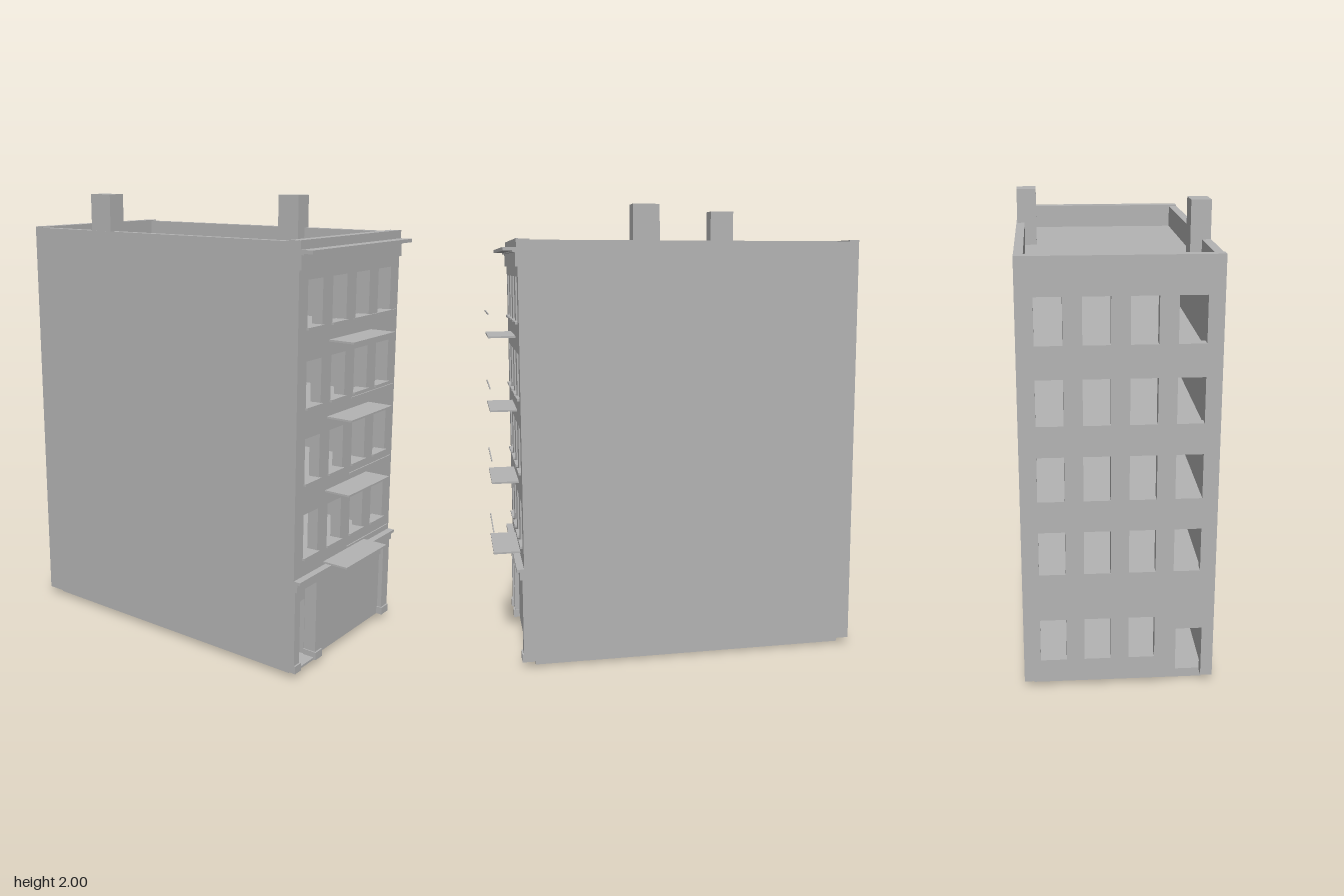
import * as THREE from 'three';

const stone = new THREE.MeshStandardMaterial({ color: 0xb4b4b4 });
stone.name = 'grey stone';

export function createModel() {
  const building = new THREE.Group();
  building.name = 'townhouse';

  const add = (name, geometry) => {
    const mesh = new THREE.Mesh(geometry, stone);
    mesh.name = name;
    building.add(mesh);
    return mesh;
  };

  // Box given by its limits on each axis
  const block = (name, x0, x1, y0, y1, z0, z1) => {
    const mesh = add(name, new THREE.BoxGeometry(x1 - x0, y1 - y0, z1 - z0));
    mesh.position.set((x0 + x1) / 2, (y0 + y1) / 2, (z0 + z1) / 2);
    return mesh;
  };

  // Wall with an optional door notch in its lower edge and window holes
  const wall = (name, x0, x1, y0, y1, z0, z1, door, windows = []) => {
    const shape = new THREE.Shape();
    shape.moveTo(x0, y0);
    if (door) {
      shape.lineTo(door[0], y0);
      shape.lineTo(door[0], door[2]);
      shape.lineTo(door[1], door[2]);
      shape.lineTo(door[1], y0);
    }
    shape.lineTo(x1, y0);
    shape.lineTo(x1, y1);
    shape.lineTo(x0, y1);
    shape.closePath();
    for (const [x, y] of windows) {
      const hole = new THREE.Path();
      hole.moveTo(x - 0.055, y);
      hole.lineTo(x - 0.055, y + 0.19);
      hole.lineTo(x + 0.055, y + 0.19);
      hole.lineTo(x + 0.055, y);
      hole.closePath();
      shape.holes.push(hole);
    }
    const geometry = new THREE.ExtrudeGeometry(shape, { depth: z1 - z0, bevelEnabled: false });
    geometry.translate(0, 0, z0);
    return add(name, geometry);
  };

  const columns = [-0.28, -0.095, 0.09, 0.275];
  const rows = [0.53, 0.855, 1.175, 1.5];
  const floors = [0.46, 0.782, 1.104, 1.428];
  const upperWindows = rows.flatMap((y) => columns.map((x) => [x, y]));
  const lowerWindows = columns.slice(1).map((x) => [x, 0.13]);

  // Shell
  block('rightWall', -0.4, -0.363, 0.03, 1.84, -0.757, 0.635);
  block('leftWall', 0.363, 0.4, 0.03, 1.84, -0.757, 0.635);
  wall('backWall', -0.4, 0.4, 0.03, 1.845, -0.8, -0.757, [-0.35, -0.24, 0.26],
    [...upperWindows, ...lowerWindows]);
  wall('frontWall', -0.4, 0.4, 0.4, 1.845, 0.635, 0.685, null, upperWindows);

  // Base, floors and roof deck
  block('base', -0.36, 0.36, 0, 0.04, -0.76, 0.64);
  floors.forEach((y) => block('floor', -0.363, 0.363, y - 0.012, y, -0.757, 0.635));
  block('roofDeck', -0.363, 0.363, 1.72, 1.74, -0.757, 0.635);

  // Chimneys
  block('rightChimney', -0.399, -0.315, 1.74, 2, -0.43, -0.315);
  block('leftChimney', 0.31, 0.396, 1.74, 1.99, 0.09, 0.203);

  // Street level: recessed entrance and shop front
  wall('entranceWall', -0.37, -0.22, 0.03, 0.4, 0.605, 0.635, [-0.355, -0.237, 0.3]);
  block('entranceStep', -0.36, -0.235, 0.03, 0.04, 0.635, 0.69);
  block('entranceCeiling', -0.363, -0.22, 0.395, 0.41, 0.61, 0.68);
  block('shopPanel', -0.2, 0.35, 0.03, 0.335, 0.635, 0.672);
  block('shopBand', -0.2, 0.35, 0.335, 0.4, 0.635, 0.68);
  [[-0.4, -0.36], [-0.235, -0.195], [0.345, 0.4]].forEach(([x0, x1]) => {
    block('pilaster', x0, x1, 0.03, 0.4, 0.605, 0.693);
    block('pilasterBase', Math.max(x0 - 0.006, -0.4), Math.min(x1 + 0.006, 0.4),
      0.03, 0.065, 0.635, 0.7);
  });

  // Mouldings across the front
  block('lowerFrieze', -0.4, 0.4, 0.4, 0.435, 0.68, 0.703);
  block('lowerCornice', -0.4, 0.4, 0.435, 0.448, 0.68, 0.716);
  block('upperFrieze', -0.4, 0.4, 1.732, 1.79, 0.68, 0.695);
  block('upperCornice', -0.4, 0.4, 1.795, 1.81, 0.68, 0.745);
  block('corniceBed', -0.4, 0.4, 1.79, 1.795, 0.68, 0.705);
  block('parapetCap', -0.4, 0.4, 1.81, 1.846, 0.68, 0.69);

  // Window sills
  upperWindows.forEach(([x, y]) =>
    block('windowSill', x - 0.06, x + 0.06, y - 0.009, y + 0.001, 0.66, 0.696));

  // Balconies with a slim front rail
  floors.forEach((y) => {
    block('balconySlab', -0.173, 0.17, y - 0.004, y + 0.004, 0.68, 0.803);
    block('balconyRail', -0.173, 0.17, y + 0.097, y + 0.103, 0.798, 0.803);
  });

  return building;
}
